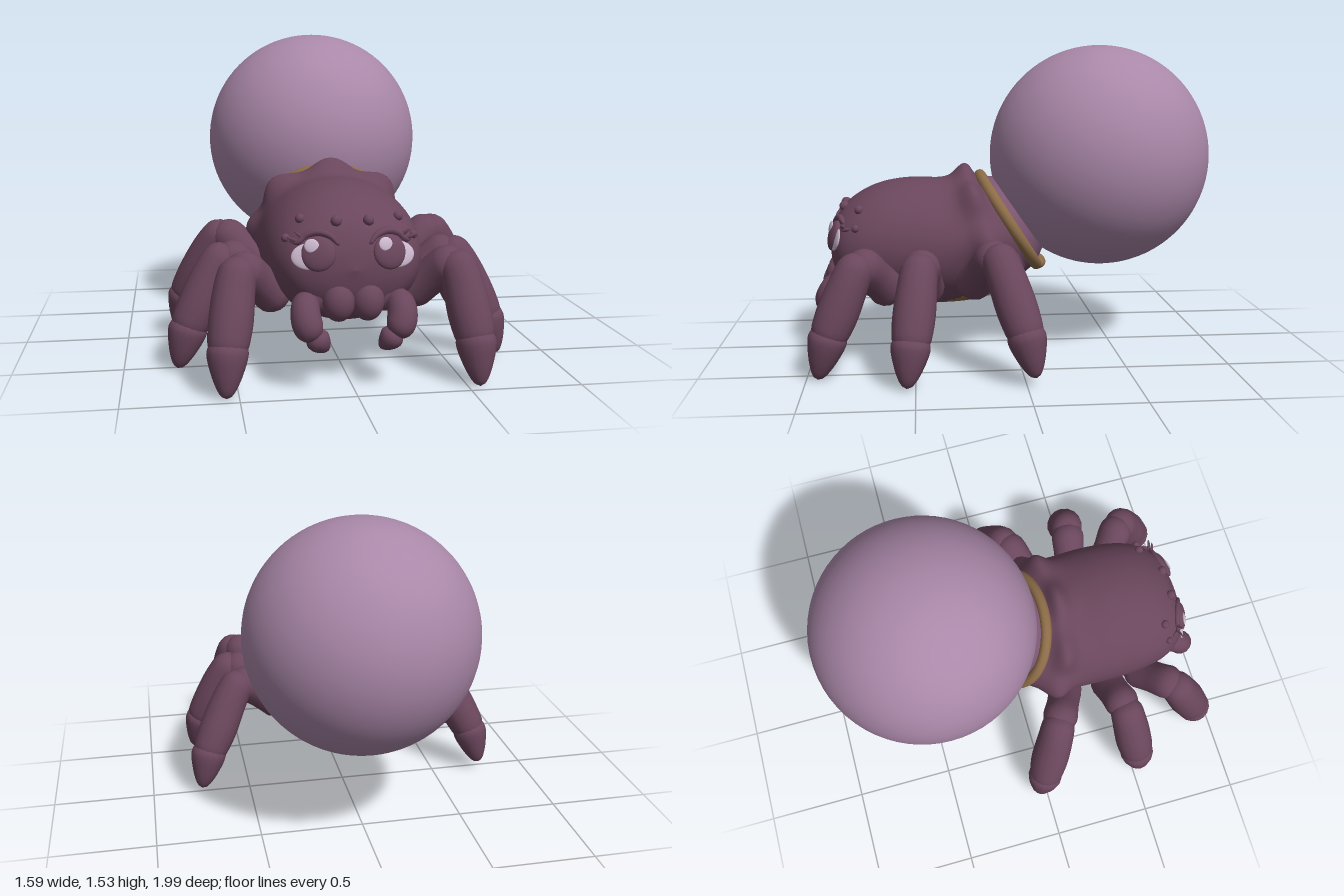
import * as THREE from 'three';
import { mergeVertices } from 'three/addons/utils/BufferGeometryUtils.js';

const V = (x, y, z) => new THREE.Vector3(x, y, z);
const mat = (name, color, side = THREE.FrontSide) => {
  const m = new THREE.MeshStandardMaterial({ color, side });
  m.name = name;
  return m;
};

export function createModel() {
  const model = new THREE.Group();
  const maroon = mat('maroon', 0x6a465c);
  const mauve = mat('mauve', 0xa987a8);
  const ochre = mat('ochre', 0x8c6c48);
  const plum = mat('plum', 0x7c5672, THREE.DoubleSide);
  const pale = mat('pale lilac', 0xcdbad0);

  const add = (name, geo, material, parent = model) => {
    const mesh = new THREE.Mesh(geo, material);
    mesh.name = name;
    parent.add(mesh);
    return mesh;
  };
  const ball = (name, p, r, material, parent = model, seg = 24) => {
    const mesh = add(name, new THREE.SphereGeometry(1, seg, Math.ceil(seg * 0.7)), material, parent);
    mesh.position.set(...p);
    mesh.scale.set(...r);
    return mesh;
  };

  // Round-ended tube through [x, y, z, radius] points
  const limb = (name, pts, material, parent = model, segs = 28, sides = 16) => {
    const curve = new THREE.CatmullRomCurve3(pts.map(p => V(p[0], p[1], p[2])));
    const radii = new THREE.CatmullRomCurve3(pts.map((p, i) => V(i, p[3], 0)));
    const geo = new THREE.TubeGeometry(curve, segs, 1, sides, false);
    const pos = geo.attributes.position, len = curve.getLength(), v = V(0, 0, 0);
    for (let i = 0; i <= segs; i++) {
      const u = i / segs, c = curve.getPointAt(u);
      let r = Math.max(radii.getPoint(curve.getUtoTmapping(u)).y, 0.002);
      const d = Math.min(u, 1 - u) * len;
      if (d < r) r *= Math.sqrt(Math.max(0, 1 - (1 - d / r) ** 2));
      for (let j = 0; j <= sides; j++) {
        const k = i * (sides + 1) + j;
        v.fromBufferAttribute(pos, k).sub(c).multiplyScalar(r).add(c);
        pos.setXYZ(k, v.x, v.y, v.z);
      }
    }
    geo.deleteAttribute('uv');
    geo.deleteAttribute('normal');
    const smooth = mergeVertices(geo, 1e-5);
    smooth.computeVertexNormals();
    return add(name, smooth, material, parent);
  };

  // Body: rings given by half width, top (y, z) and bottom (y, z)
  const rings = [
    [0.28, 0.86, 0.16, 0.42, -0.12], [0.325, 0.865, 0.22, 0.33, 0],
    [0.35, 0.855, 0.32, 0.25, 0.15], [0.365, 0.865, 0.5, 0.225, 0.38],
    [0.355, 0.845, 0.65, 0.24, 0.6], [0.325, 0.8, 0.76, 0.27, 0.75],
    [0.265, 0.73, 0.85, 0.33, 0.85], [0.165, 0.64, 0.9, 0.41, 0.9], [0, 0.53, 0.925, 0.53, 0.925],
  ];
  const topLine = new THREE.CatmullRomCurve3(rings.map(r => V(r[0], r[1], r[2])));
  const lowLine = new THREE.CatmullRomCurve3(rings.map(r => V(r[0], r[3], r[4])));
  const N = 64, M = 96, verts = [], groups = [[], [], []];
  for (let i = 0; i <= N; i++) {
    const a = topLine.getPoint(i / N), b = lowLine.getPoint(i / N);
    for (let j = 0; j < M; j++) {
      const t = (j / M) * Math.PI * 2, k = (1 + Math.cos(t)) / 2;
      // scalloped ridge swelling out of the back of the head
      const w = Math.min(t, Math.PI * 2 - t);
      const fade = THREE.MathUtils.smoothstep(2.1 - w, 0, 0.5);
      const ridge = fade * (0.05 + 0.022 * Math.cos(w * 8)) * Math.exp(-(((i - 10.5) / 5) ** 2));
      verts.push(Math.sin(t) * (a.x + ridge), b.y + (a.y - b.y) * k + Math.cos(t) * ridge, b.z + (a.z - b.z) * k);
      if (i === N) continue;
      const j1 = (j + 1) % M, p = i * M + j, q = i * M + j1;
      // ochre belly patch with small plum patches beside it
      const off = Math.abs(j + 0.5 - M / 2);
      const belly = i >= 5 && i < 24 && off < 10 - Math.max(0, i - 19);
      const g = belly ? 1 : i >= 3 && i < 11 && off > 9 && off < 17 ? 2 : 0;
      groups[g].push(p, p + M, q, q, p + M, q + M);
    }
  }
  const bodyGeo = new THREE.BufferGeometry();
  bodyGeo.setAttribute('position', new THREE.Float32BufferAttribute(verts, 3));
  bodyGeo.setIndex(groups.flat());
  let start = 0;
  groups.forEach((g, i) => { bodyGeo.addGroup(start, g.length, i); start += g.length; });
  bodyGeo.computeVertexNormals();
  const body = add('body', bodyGeo, [maroon, ochre, plum]);

  // Point and normal on the face, used to seat the facial details
  const ray = new THREE.Raycaster();
  const onFace = (x, y) => {
    ray.set(V(x, y, 3), V(0, 0, -1));
    const hit = ray.intersectObject(body)[0];
    return { p: hit.point, n: hit.face.normal };
  };

  // Abdomen
  add('abdomen', new THREE.SphereGeometry(0.557, 64, 44), mauve).position.set(0, 0.97, -0.443);

  // Collar and neck, tilted back to meet the abdomen
  const collar = new THREE.Group();
  collar.name = 'collarGroup';
  collar.position.set(0, 0.642, 0.022);
  collar.rotation.x = 0.56;
  model.add(collar);
  add('collar', new THREE.TorusGeometry(0.272, 0.026, 12, 56), ochre, collar).scale.set(1.06, 1, 1.1);
  const neck = add('neck', new THREE.CylinderGeometry(0.27, 0.21, 0.09, 48, 1, true), plum, collar);
  neck.rotation.x = Math.PI / 2;
  neck.position.z = -0.035;
  ball('collarFlap', [0, 0.425, -0.12], [0.13, 0.035, 0.05], ochre);

  for (const s of [1, -1]) {
    const side = s > 0 ? 'left' : 'right';

    // Legs: hip, knee, ankle, toe
    const legs = {
      Front: [[0.28, 0.32, 0.6], [0.48, 0.52, 0.76], [0.545, 0.19, 0.9], [0.555, 0, 0.95]],
      Middle: [[0.28, 0.32, 0.44], [0.53, 0.52, 0.475], [0.705, 0.19, 0.52], [0.755, 0.01, 0.54]],
      Back: [[0.27, 0.34, 0.24], [0.52, 0.555, 0.115], [0.705, 0.22, 0], [0.75, 0.04, -0.04]],
    };
    for (const [which, joints] of Object.entries(legs)) {
      const leg = new THREE.Group();
      leg.name = side + which + 'Leg';
      model.add(leg);
      const [hip, knee, ankle, toe] = joints.map(p => V(s * p[0], p[1], p[2]));
      const at = (a, b, t, r, lift = 0) => {
        const p = a.clone().lerp(b, t);
        return [p.x + s * lift * 0.7, p.y + lift, p.z, r];
      };
      limb('thigh', [at(hip, knee, 0, 0.095), at(hip, knee, 0.5, 0.085, 0.012),
        at(hip, knee, 0.85, 0.09, 0.01), at(hip, knee, 1.2, 0.085, -0.02)], maroon, leg);
      limb('shin', [at(knee, ankle, -0.14, 0.08), at(knee, ankle, 0.25, 0.091, 0.012),
        at(knee, ankle, 0.7, 0.097, 0.005), at(knee, ankle, 1.14, 0.08)], maroon, leg);
      limb('foot', [at(ankle, toe, -0.4, 0.08), at(ankle, toe, 0.05, 0.09),
        at(ankle, toe, 0.55, 0.064), at(ankle, toe, 1, 0.024)], maroon, leg);
    }

    // Mouth parts
    ball(side + 'Jaw', [s * 0.064, 0.385, 0.875], [0.072, 0.088, 0.07], maroon);
    ball(side + 'Cheek', [s * 0.15, 0.4, 0.81], [0.09, 0.08, 0.07], maroon);
    limb(side + 'Palp', [[s * 0.18, 0.36, 0.78, 0.055], [s * 0.21, 0.365, 0.88, 0.062],
      [s * 0.205, 0.3, 0.92, 0.066], [s * 0.165, 0.235, 0.925, 0.058]], maroon);
    limb(side + 'PalpTip', [[s * 0.19, 0.27, 0.925, 0.05], [s * 0.155, 0.225, 0.92, 0.052],
      [s * 0.115, 0.18, 0.9, 0.02]], maroon);

    // Large eye
    const seat = onFace(s * 0.155, 0.6);
    const eye = new THREE.Group();
    eye.name = side + 'Eye';
    eye.position.copy(seat.p);
    eye.quaternion.setFromUnitVectors(V(0, 0, 1), seat.n);
    model.add(eye);
    ball('eyeWhite', [s * 0.033, -0.01, -0.002], [0.085, 0.058, 0.012], pale, eye);
    ball('iris', [0, 0, 0], [0.076, 0.075, 0.026], maroon, eye);
    ball('highlight', [-0.026, 0.034, 0.021], [0.032, 0.03, 0.007], pale, eye);

    // Eyelid and lashes
    const lid = [[0.065, 0.635], [0.1, 0.672], [0.15, 0.685], [0.2, 0.67], [0.235, 0.64], [0.265, 0.645]];
    limb(side + 'Eyelid', lid.map(([x, y], i) => {
      const { p, n } = onFace(s * x, y);
      p.addScaledVector(n, 0.006);
      return [p.x, p.y, p.z, [0.008, 0.014, 0.016, 0.014, 0.012, 0.006][i]];
    }), maroon, model, 28, 8);
    for (const [x, y, dx, dy] of [[0.215, 0.66, 0.03, 0.025], [0.235, 0.645, 0.04, 0.015]]) {
      const { p, n } = onFace(s * x, y);
      const tip = p.clone().addScaledVector(n, 0.02).add(V(s * dx, dy, 0));
      const mid = p.clone().lerp(tip, 0.5).addScaledVector(n, 0.006);
      limb(side + 'Lash', [[...p.toArray(), 0.009], [...mid.toArray(), 0.007], [...tip.toArray(), 0.003]],
        maroon, model, 10, 6);
    }

    // Small eyes
    for (const [x, y, r] of [[0.07, 0.73, 0.025], [0.215, 0.73, 0.022], [0.28, 0.65, 0.019]]) {
      const { p, n } = onFace(s * x, y);
      p.addScaledVector(n, 0.004);
      ball(side + 'SmallEye', p.toArray(), [r, r, r], maroon, model, 14);
    }
  }
  return model;
}
